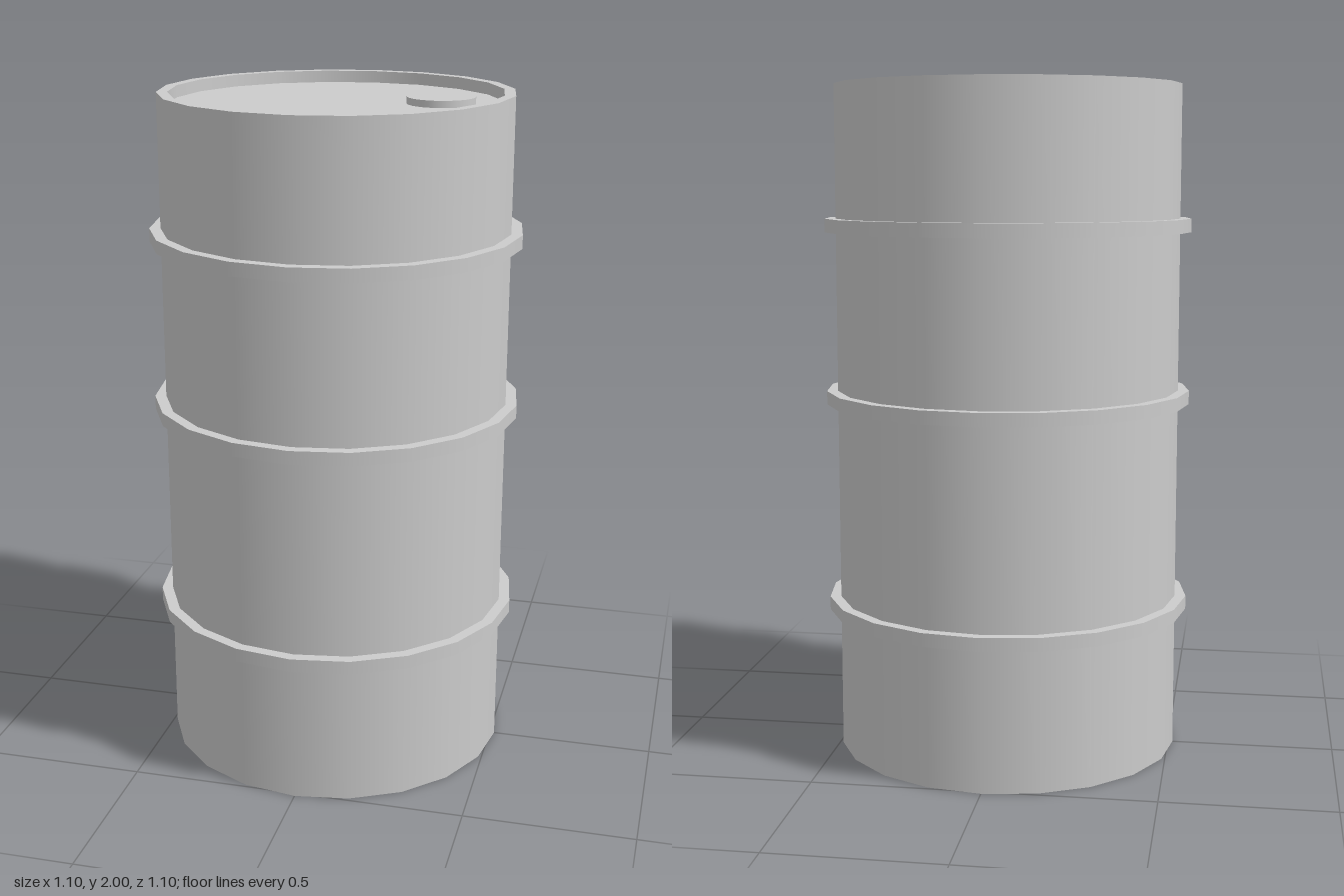
import * as THREE from 'three';
import { mergeGeometries } from 'three/addons/utils/BufferGeometryUtils.js';

const SIDES = 20;
const R = 0.515, R_IN = 0.483, R_RING = 0.548;
const LID_Y = 1.965;

// Lathe each profile segment separately so corners stay sharp and sides smooth
function sharpLathe(points, sides = SIDES) {
  const parts = [];
  for (let i = 0; i < points.length - 1; i++) {
    const pair = [points[i], points[i + 1]].map(([r, y]) => new THREE.Vector2(r, y));
    parts.push(new THREE.LatheGeometry(pair, sides));
  }
  return mergeGeometries(parts);
}

export function createModel() {
  const group = new THREE.Group();
  group.name = 'barrel';
  const metal = new THREE.MeshStandardMaterial({ color: 0xcccccc });
  const sheet = new THREE.MeshStandardMaterial({ color: 0xcccccc, side: THREE.DoubleSide });

  const add = (name, geometry, material) => {
    const mesh = new THREE.Mesh(geometry, material);
    mesh.name = name;
    group.add(mesh);
    return mesh;
  };

  // Thin wall, open at the bottom
  add('wall', sharpLathe([[R, 0], [R, 2]]), sheet);

  // Flat rim stepping down to the recessed lid
  add('rim', sharpLathe([[R, 2], [R_IN, 2], [R_IN, LID_Y]]), sheet);
  add('lid', sharpLathe([[R_IN, LID_Y], [0, LID_Y]]), sheet);

  // Three hoops, poking through the wall on both sides
  const h = 0.04;
  const hoop = sharpLathe([[R_IN, 0], [R_RING, 0], [R_RING, h], [R_IN, h], [R_IN, 0]]);
  [['lowerHoop', 0.425], ['middleHoop', 1.056], ['upperHoop', 1.568]].forEach(([name, y]) => {
    add(name, hoop, metal).position.y = y;
  });

  // Filler cap on the lid
  const capHeight = 0.02;
  const cap = add('fillerCap', new THREE.CylinderGeometry(0.099, 0.099, capHeight, 32), metal);
  cap.position.set(0.293, LID_Y + capHeight / 2, -0.058);

  return group;
}
